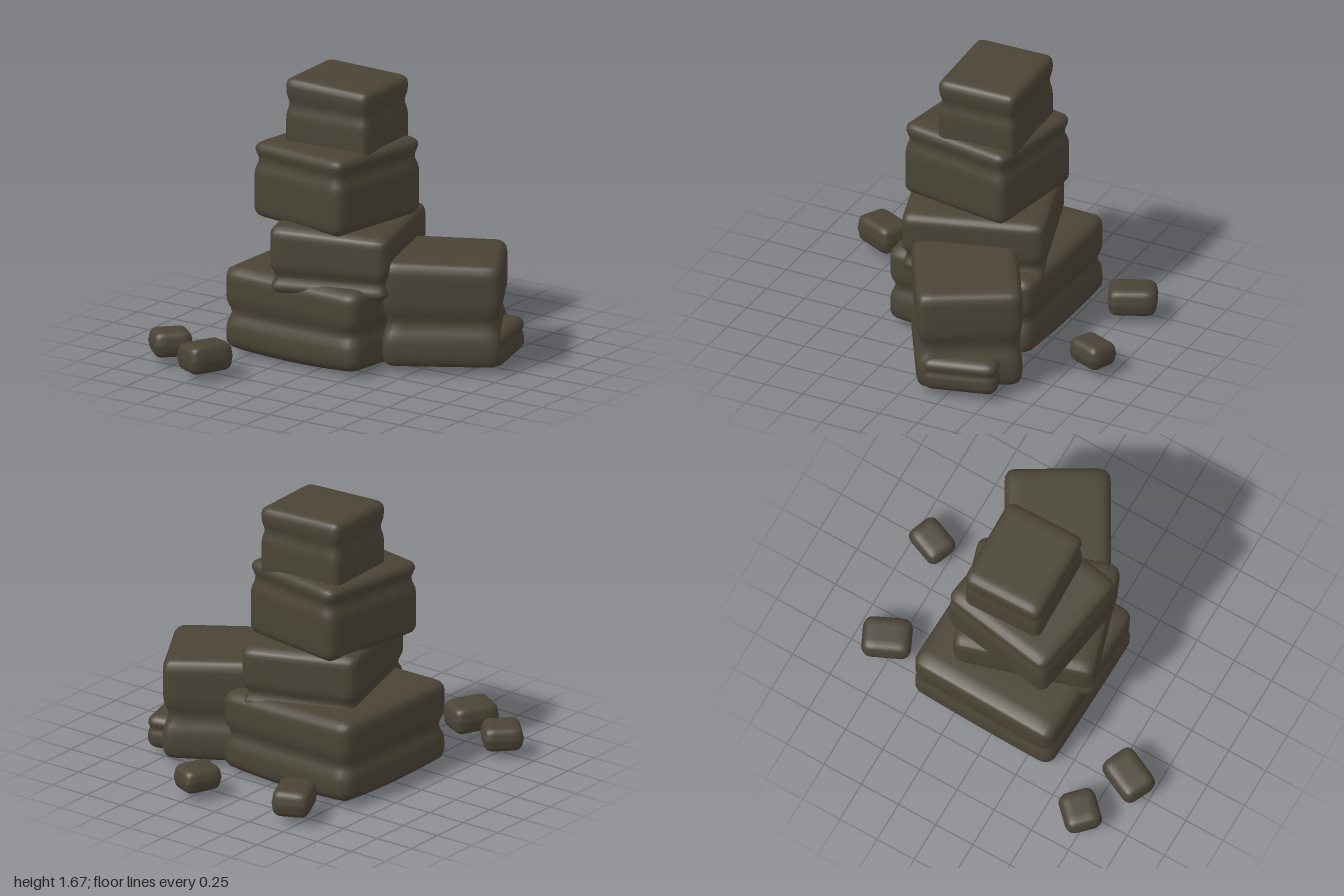
import * as THREE from 'three';
import { mergeVertices } from 'three/addons/utils/BufferGeometryUtils.js';

// Softly worn block: rounded box with a shallow groove around it, tilted top and sagging underside
function stoneGeometry(w, h, d, { r = 0.06, groove = 0.5, depth = 0.025, tilt = 0, sag = 0, n = 18 }) {
  let geo = new THREE.BoxGeometry(w, h, d, n, n, n);
  geo.deleteAttribute('uv');
  geo.deleteAttribute('normal');
  geo = mergeVertices(geo, 1e-4);
  const pos = geo.attributes.position;
  const half = new THREE.Vector3(w / 2, h / 2, d / 2);
  const core = half.clone().subScalar(r);
  const p = new THREE.Vector3();
  const q = new THREE.Vector3();
  for (let i = 0; i < pos.count; i++) {
    p.fromBufferAttribute(pos, i);
    // round the edges
    q.copy(p).clamp(core.clone().negate(), core);
    p.sub(q);
    if (p.lengthSq() > 0) p.setLength(r);
    p.add(q);
    // groove in the sides, fading out towards the axis
    const v = p.y / h + 0.5;
    const dent = depth * Math.exp(-Math.pow((v - groove) / 0.1, 2));
    const u = p.x / half.x;
    const s = p.z / half.z;
    p.x -= u * dent;
    p.z -= s * dent;
    // uneven top and bottom
    if (v > 0.5) p.y += tilt * u * (v - 0.5) * 2;
    else p.y -= sag * Math.max(0, 1 - (u * u + s * s) / 1.6) * (0.5 - v) * 2;
    pos.setXYZ(i, p.x, p.y, p.z);
  }
  geo.computeVertexNormals();
  return geo;
}

export function createModel() {
  const group = new THREE.Group();
  const stone = new THREE.MeshStandardMaterial({ color: 0x4a4436 });
  stone.name = 'dark stone';

  // name, centre x and z, bottom, top, width, depth, turn in degrees, wear
  const blocks = [
    ['baseBlock', -0.15, -0.05, 0.035, 0.53, 0.95, 0.95, -1.5, { r: 0.07, groove: 0.45, sag: 0.035, tilt: -0.01 }],
    ['sideBlock', 0.52, -0.2, 0.04, 0.675, 0.7, 0.62, 30, { r: 0.065, groove: 0.42, depth: 0.03, tilt: -0.01 }],
    ['lowBackBlock', 0.68, -0.28, 0.04, 0.25, 0.48, 0.45, 15, { r: 0.06, groove: 0.6, depth: 0.01 }],
    ['lowerMiddleBlock', -0.04, -0.02, 0.45, 0.85, 0.72, 0.85, 17, { r: 0.06, groove: 0.25, tilt: -0.015 }],
    ['upperMiddleBlock', -0.11, -0.01, 0.83, 1.295, 0.7, 0.73, -9, { r: 0.06, groove: 0.76, depth: 0.02, tilt: 0.005 }],
    ['topBlock', -0.085, -0.08, 1.22, 1.665, 0.57, 0.5, 1.5, { r: 0.05, groove: 0.65, depth: 0.015, tilt: -0.008 }],
    ['backPebbleA', -0.43, -0.8, 0.05, 0.215, 0.22, 0.28, 25, {}],
    ['backPebbleB', 0.225, -0.873, 0.05, 0.2, 0.19, 0.24, -22, {}],
    ['frontPebbleA', -0.795, 0.71, 0.05, 0.205, 0.21, 0.23, -45, {}],
    ['frontPebbleB', -0.465, 0.845, 0.045, 0.215, 0.21, 0.28, -25, {}],
  ];
  for (const [name, x, z, y0, y1, w, d, turn, wear] of blocks) {
    const shape = name.includes('Pebble') ? { r: 0.05, depth: -0.006, tilt: 0.006, n: 10 } : wear;
    const mesh = new THREE.Mesh(stoneGeometry(w, y1 - y0, d, shape), stone);
    mesh.name = name;
    mesh.position.set(x, (y0 + y1) / 2, z);
    mesh.rotation.y = THREE.MathUtils.degToRad(turn);
    group.add(mesh);
  }
  return group;
}
